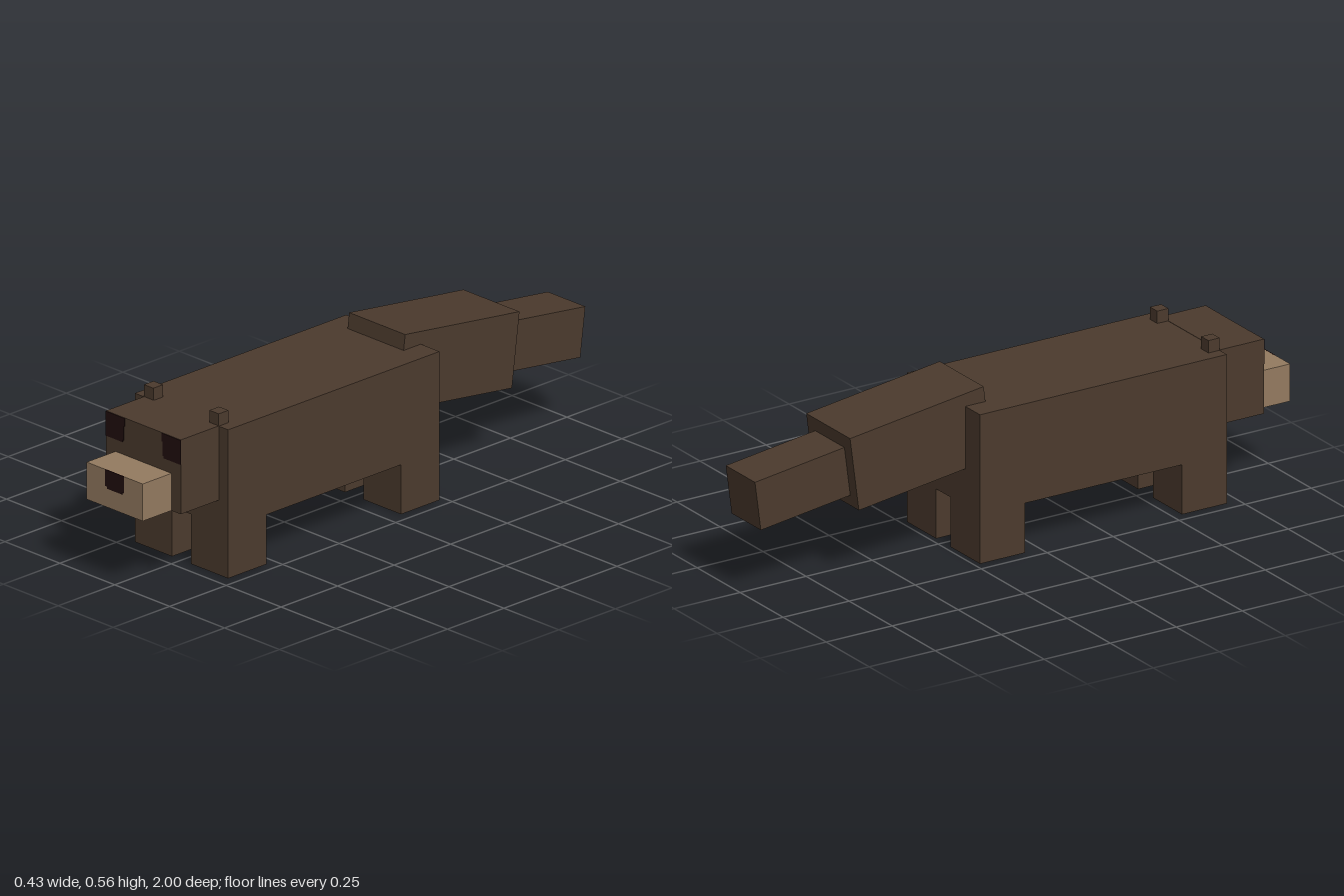
import * as THREE from 'three';

const U = 0.0425; // one block unit
const fur = new THREE.MeshStandardMaterial({ color: 0x4b3a2d });
fur.name = 'brown fur';
const muzzle = new THREE.MeshStandardMaterial({ color: 0x937a60 });
muzzle.name = 'tan muzzle';
const dark = new THREE.MeshStandardMaterial({ color: 0x210d0d });
dark.name = 'dark eyes and nose';
const grey = new THREE.MeshStandardMaterial({ color: 0x958c8a });
grey.name = 'grey spot';

export function createModel() {
  const model = new THREE.Group();
  model.name = 'animal';

  const box = (name, mat, size, pos) => {
    const mesh = new THREE.Mesh(new THREE.BoxGeometry(...size), mat);
    mesh.name = name;
    mesh.position.set(...pos);
    model.add(mesh);
    return mesh;
  };

  // Thin painted plate from an outline, facing +z
  const plate = (name, points, z) => {
    const shape = new THREE.Shape(points.map(([x, y]) => new THREE.Vector2(x, y)));
    const mesh = new THREE.Mesh(
      new THREE.ExtrudeGeometry(shape, { depth: 0.003, bevelEnabled: false }), dark);
    mesh.name = name;
    mesh.position.z = z;
    model.add(mesh);
  };

  // Body, head and muzzle
  box('body', fur, [10 * U, 8 * U, 22 * U], [0, 0.34, 0.2375]);
  box('head', fur, [8 * U, 6 * U, 4 * U], [0, 0.3835, 0.788]);
  box('muzzle', muzzle, [6 * U, 3 * U, 3 * U], [0, 0.32, 0.9365]);
  box('bellySpot', grey, [0.022, 0.006, 0.022], [0, 0.169, 0.2375]);

  for (const [side, s] of [['left', 1], ['right', -1]]) {
    // Legs and ears
    box(side + 'FrontLeg', fur, [4 * U, 4 * U, 4 * U], [s * 3 * U, 2 * U, 0.62]);
    box(side + 'BackLeg', fur, [4 * U, 4 * U, 4 * U], [s * 3 * U, 2 * U, -0.145]);
    box(side + 'Ear', fur, [U, U, U], [s * 3.5 * U, 0.531, 0.684]);

    // Eyes with a notched inner lower corner
    plate(side + 'Eye', [
      [0.17, 0.51], [0.085, 0.51], [0.085, 0.482], [0.088, 0.482],
      [0.088, 0.433], [0.094, 0.433], [0.094, 0.426], [0.17, 0.426],
    ].map(([x, y]) => [s * x, y]), 0.872);
  }

  // Nose with notched lower corners
  plate('nose', [
    [-0.0425, 0.384], [-0.0425, 0.327], [-0.035, 0.327], [-0.035, 0.32],
    [0.035, 0.32], [0.035, 0.327], [0.0425, 0.327], [0.0425, 0.384],
  ], 0.998);

  // Two-part tail sloping down to the rear
  const slope = -0.131;
  box('tailBase', fur, [6 * U, 6 * U, 12 * U], [0, 0.403, -0.397]).rotation.x = slope;
  box('tailTip', fur, [4 * U, 4 * U, 8.2 * U], [0, 0.344, -0.815]).rotation.x = slope;

  return model;
}
